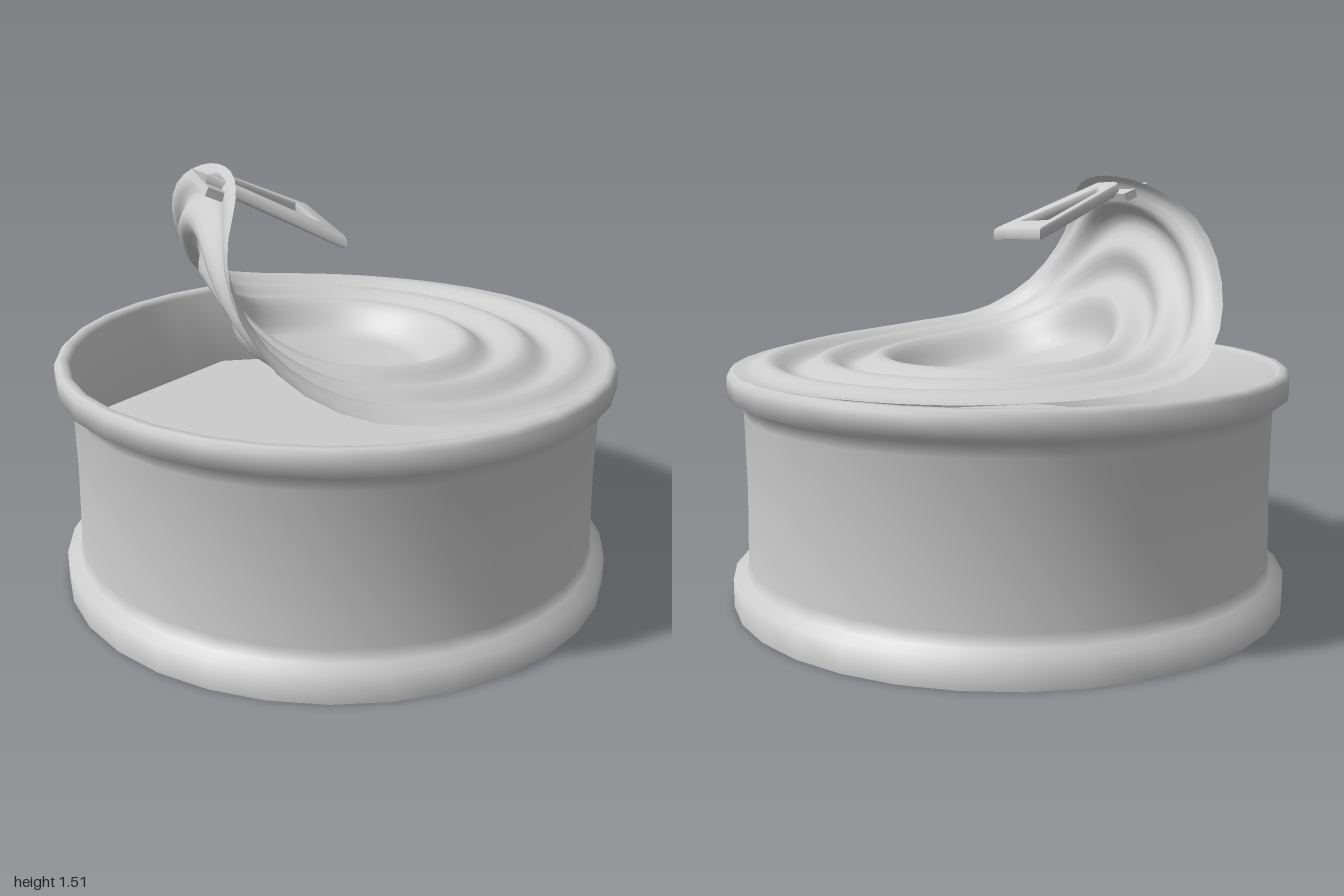
import * as THREE from 'three';
import { mergeVertices, toCreasedNormals } from 'three/addons/utils/BufferGeometryUtils.js';

const V2 = (x, y) => new THREE.Vector2(x, y);
const { lerp, smoothstep } = THREE.MathUtils;

export function createModel() {
  const group = new THREE.Group();
  const material = new THREE.MeshStandardMaterial({ color: 0xcccccc });
  const thin = new THREE.MeshStandardMaterial({ color: 0xcccccc, side: THREE.DoubleSide });
  const add = (name, geometry, mat = material) => {
    const mesh = new THREE.Mesh(geometry, mat);
    mesh.name = name;
    group.add(mesh);
    return mesh;
  };

  // Can shell: base, lower hem, wall, upper rim and inner wall in one profile
  const profile = [
    [0, 0], [1, 0], [1, 0.1], [0.955, 0.115], [0.945, 0.16], [0.94, 0.42], [0.945, 0.69],
    [0.955, 0.735], [1, 0.755], [1, 0.825], [0.985, 0.842], [0.96, 0.842], [0.945, 0.825],
    [0.93, 0.48], [0, 0.48],
  ].map(([x, y]) => V2(x, y));
  add('canShell', toCreasedNormals(new THREE.LatheGeometry(profile, 32), 1.4));

  // Eight-sided contents seen through the opening
  const contents = add('contents', new THREE.CylinderGeometry(0.9, 0.9, 0.06, 8));
  contents.position.y = 0.5;

  // Peeled lid: a ridged disc rolled up along a bend curve
  const bend = new THREE.CatmullRomCurve3([
    [-1, 0], [-0.5, 0.01], [0, 0.04], [0.25, 0.09], [0.42, 0.22],
    [0.5, 0.4], [0.49, 0.53], [0.43, 0.62], [0.37, 0.68],
  ].map(([u, h]) => new THREE.Vector3(u, h, 0)));
  const bendLength = bend.getLength();
  const peel = 0.17; // turn of the peel direction away from -x toward -z
  const dx = -Math.cos(peel), dz = -Math.sin(peel);
  const ridge = (r) => {
    if (r < 0.46) return lerp(-0.08 - 0.1 * (0.46 - r), 0.022, smoothstep(r, 0.32, 0.46));
    const wave = 0.022 * Math.cos((2 * Math.PI * (r - 0.86)) / 0.2);
    return r > 0.9 ? Math.max(wave, -0.003) : wave;
  };
  let lid = new THREE.RingGeometry(0.001, 0.97, 64, 40).rotateX(-Math.PI / 2);
  const pos = lid.attributes.position;
  for (let i = 0; i < pos.count; i++) {
    const x = pos.getX(i), z = pos.getZ(i);
    const s = x * dx + z * dz, t = x * dz - z * dx;
    const k = Math.min(1, (s + 1) / bendLength);
    const p = bend.getPointAt(k), tan = bend.getTangentAt(k);
    const h = ridge(Math.hypot(x, z));
    // the roll reaches further out toward the front than toward the back
    const u = p.x * (p.x > 0 ? 1 + 0.3 * t : 1) - tan.y * h;
    pos.setXYZ(i, u * dx + t * dz, 0.846 + p.y + tan.x * h, u * dz - t * dx);
  }
  lid.deleteAttribute('uv');
  lid.deleteAttribute('normal');
  lid = mergeVertices(lid);
  lid.computeVertexNormals();
  add('peeledLid', lid, thin);

  // Pull tab: a four-sided frame laid out in x and z, sloping down to the right
  const outline = [V2(-0.5, 0), V2(-0.37, -0.17), V2(-0.01, -0.17), V2(-0.13, 0.27)];
  const centre = V2(-0.24, -0.025);
  const frame = new THREE.Shape(outline);
  frame.holes.push(new THREE.Path(
    outline.map((p) => p.clone().sub(centre).multiplyScalar(0.63).add(centre))));
  const tab = new THREE.ExtrudeGeometry(frame, {
    depth: 0.02, bevelThickness: 0.014, bevelSize: 0.014, bevelOffset: -0.014, bevelSegments: 2,
  });
  tab.applyMatrix4(new THREE.Matrix4().makeBasis(
    new THREE.Vector3(1, -0.43, 0), new THREE.Vector3(0, -0.16, 1), new THREE.Vector3(0, -1, 0)));
  add('pullTab', toCreasedNormals(tab, 0.7)).position.y = 1.285;

  // Plate joining the tab to the lid edge
  const plate = add('tabPlate', new THREE.BoxGeometry(0.1, 0.03, 0.37));
  plate.position.set(-0.44, 1.45, -0.08);
  plate.rotation.set(0, -0.31, -0.4);

  return group;
}
